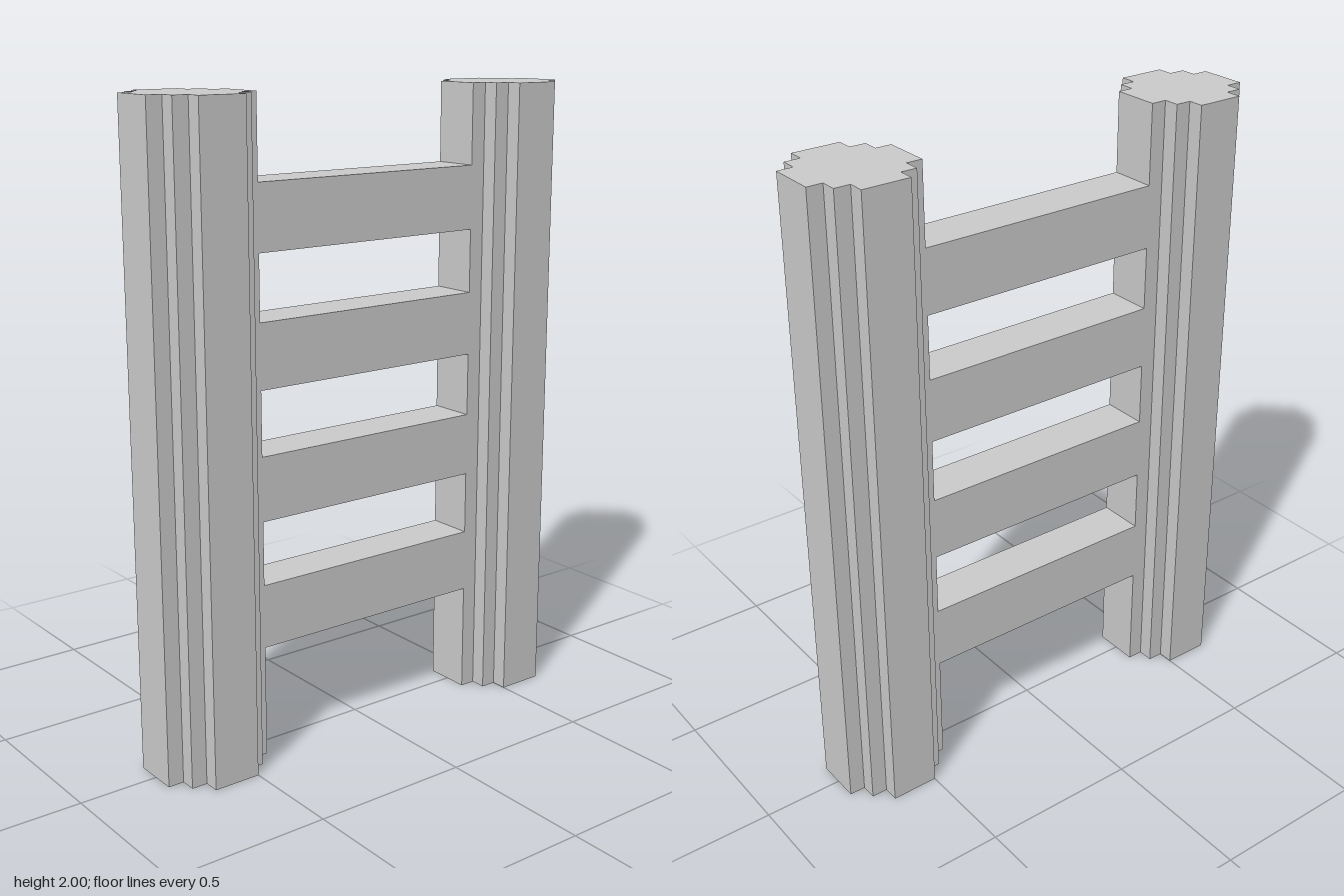
import * as THREE from 'three';

const material = new THREE.MeshStandardMaterial({ color: 0xcccccc, flatShading: true });

// Stepped round outline: one quarter's corners, turned four times
function postOutline() {
  const a = 0.075, b = 0.125, c = 0.175;
  const quarter = [[c, a], [b, a], [b, b], [a, b], [a, c]];
  const points = [];
  let turned = quarter;
  for (let i = 0; i < 4; i++) {
    points.push(...turned.map(([x, y]) => new THREE.Vector2(x, y)));
    turned = turned.map(([x, y]) => [-y, x]);
  }
  return new THREE.Shape(points);
}

export function createModel() {
  const ladder = new THREE.Group();
  ladder.name = 'ladder';

  // Two upright posts, front and back
  const postGeometry = new THREE.ExtrudeGeometry(postOutline(), { depth: 2, bevelEnabled: false });
  postGeometry.rotateX(-Math.PI / 2);
  for (const side of [1, -1]) {
    const post = new THREE.Mesh(postGeometry, material);
    post.name = side > 0 ? 'frontPost' : 'backPost';
    post.position.z = side * 0.575;
    ladder.add(post);
  }

  // Four evenly spaced rungs between the posts
  const rungGeometry = new THREE.BoxGeometry(0.15, 0.2, 0.8);
  for (let i = 0; i < 4; i++) {
    const rung = new THREE.Mesh(rungGeometry, material);
    rung.name = `rung${i + 1}`;
    rung.position.y = 0.45 + i * 0.4;
    ladder.add(rung);
  }

  return ladder;
}
